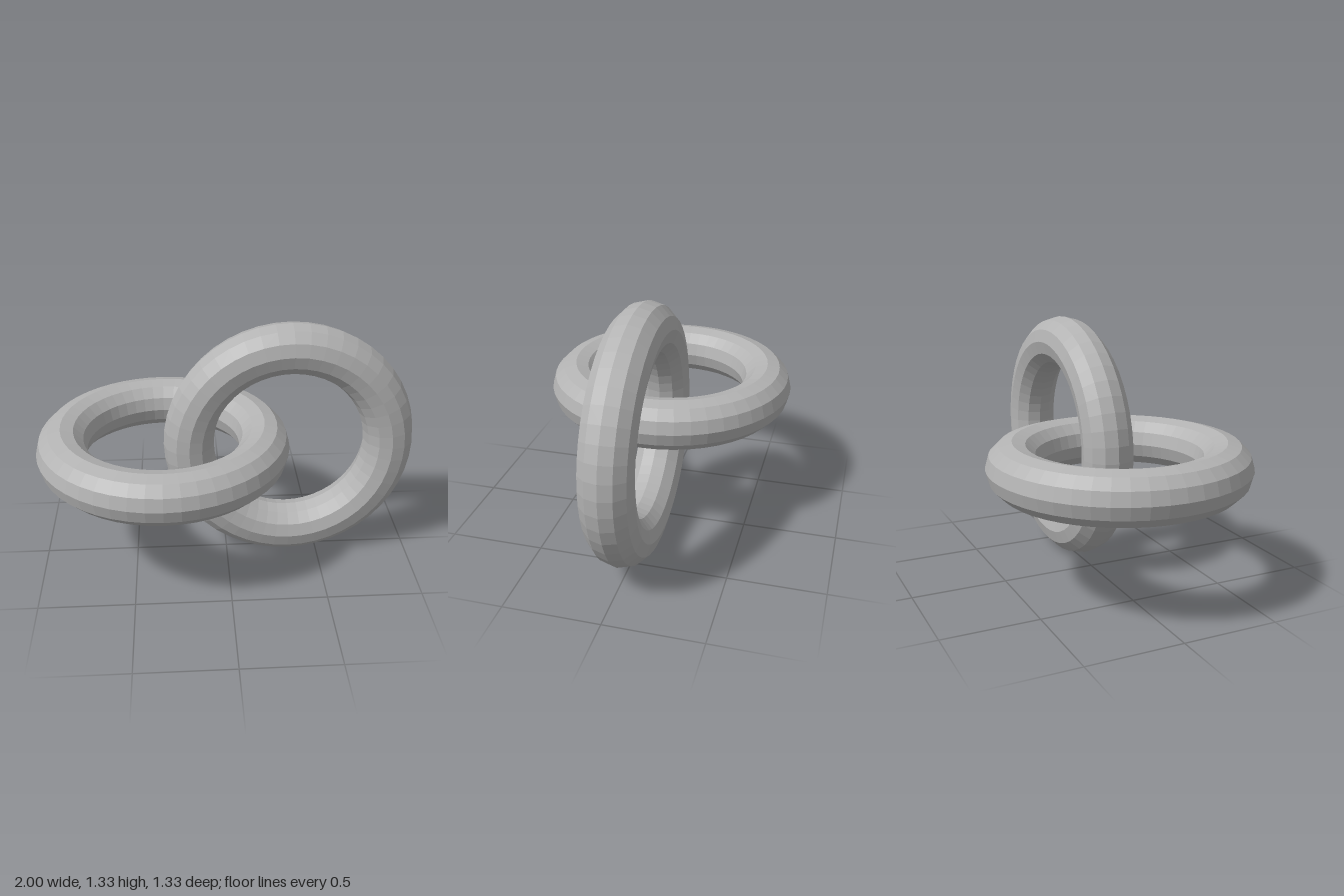
import * as THREE from 'three';

const RING = 0.5333; // centre line radius
const TUBE = 0.1333; // tube radius

export function createModel() {
  const group = new THREE.Group();
  const grey = new THREE.MeshStandardMaterial({ color: 0xb3b3b3, flatShading: true });
  grey.name = 'grey';

  const geometry = new THREE.TorusGeometry(RING, TUBE, 12, 48);

  const addRing = (name, x, tilt) => {
    const ring = new THREE.Mesh(geometry, grey);
    ring.name = name;
    ring.position.set(x, RING + TUBE, 0);
    ring.rotation.x = tilt;
    group.add(ring);
  };

  // Two interlocked links: one upright, one lying flat
  addRing('uprightRing', 0.3333, 0);
  addRing('flatRing', -0.3333, -Math.PI / 2);

  return group;
}
